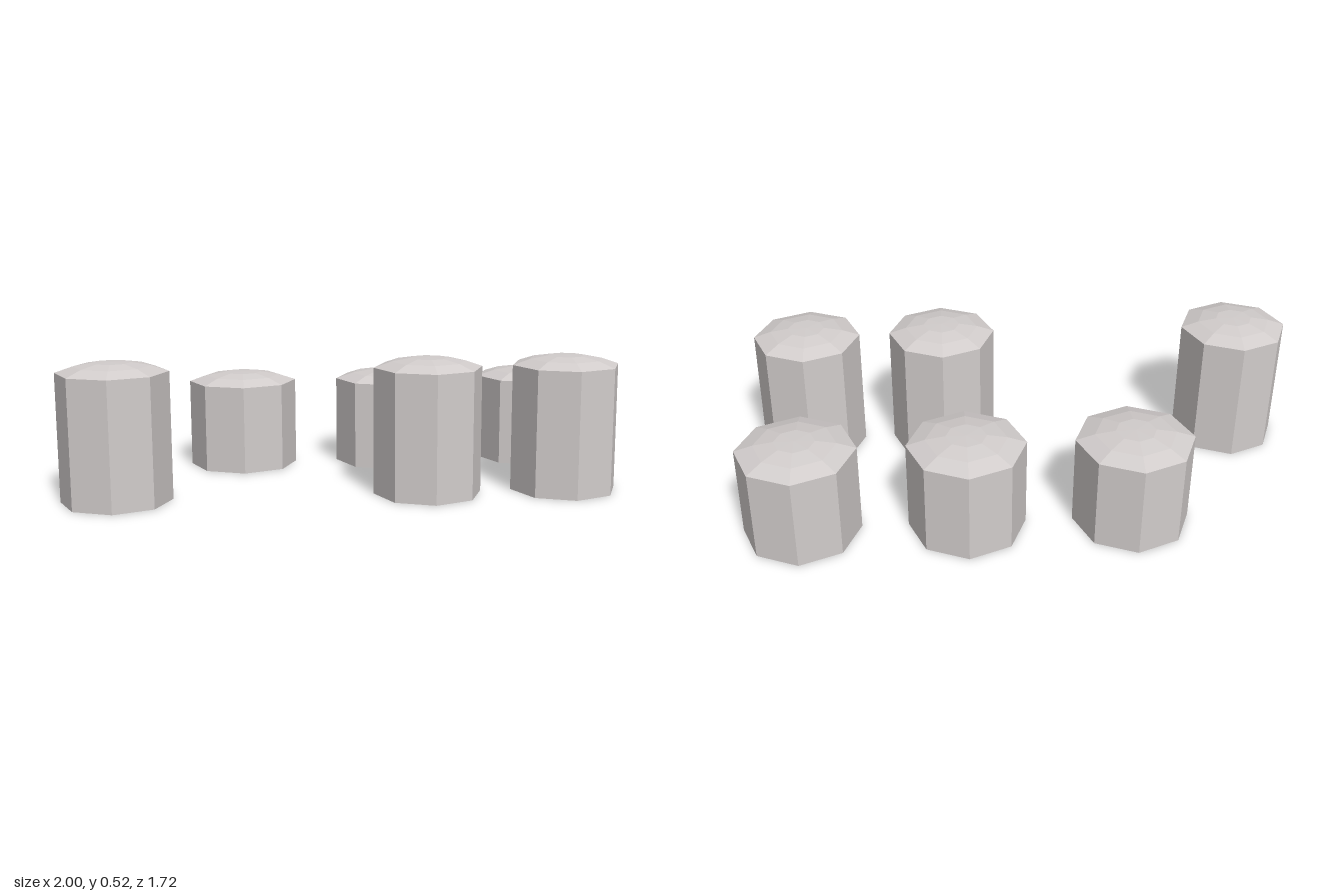
import * as THREE from 'three';

export function createModel() {
  const model = new THREE.Group();
  const stone = new THREE.MeshStandardMaterial({ color: 0xd2cdcc, flatShading: true, side: THREE.DoubleSide });
  stone.name = 'pale grey';

  // Eight-sided post, open underneath, with a shallow faceted dome on top
  function postGeometry(radius, wall, rise) {
    const profile = [
      [radius, 0],
      [radius, wall],
      [radius * 0.68, wall + rise * 0.62],
      [radius * 0.34, wall + rise * 0.96],
      [0, wall + rise],
    ].map(([r, y]) => new THREE.Vector2(r, y));
    const geometry = new THREE.LatheGeometry(profile, 8).toNonIndexed();
    geometry.computeVertexNormals();
    return geometry;
  }

  const rows = [
    // Tall, slimmer posts
    { name: 'tallPost', geometry: postGeometry(0.205, 0.48, 0.036),
      places: [[-0.795, -0.602], [-0.028, 0.265], [0.33, 0.653]] },
    // Short, wider posts
    { name: 'shortPost', geometry: postGeometry(0.218, 0.35, 0.037),
      places: [[-0.042, -0.643], [0.368, -0.192], [0.778, 0.257]] },
  ];

  for (const { name, geometry, places } of rows) {
    places.forEach(([x, z], i) => {
      const post = new THREE.Mesh(geometry, stone);
      post.name = `${name}${i + 1}`;
      post.position.set(x, 0, z);
      post.rotation.y = -0.05;
      model.add(post);
    });
  }
  return model;
}
